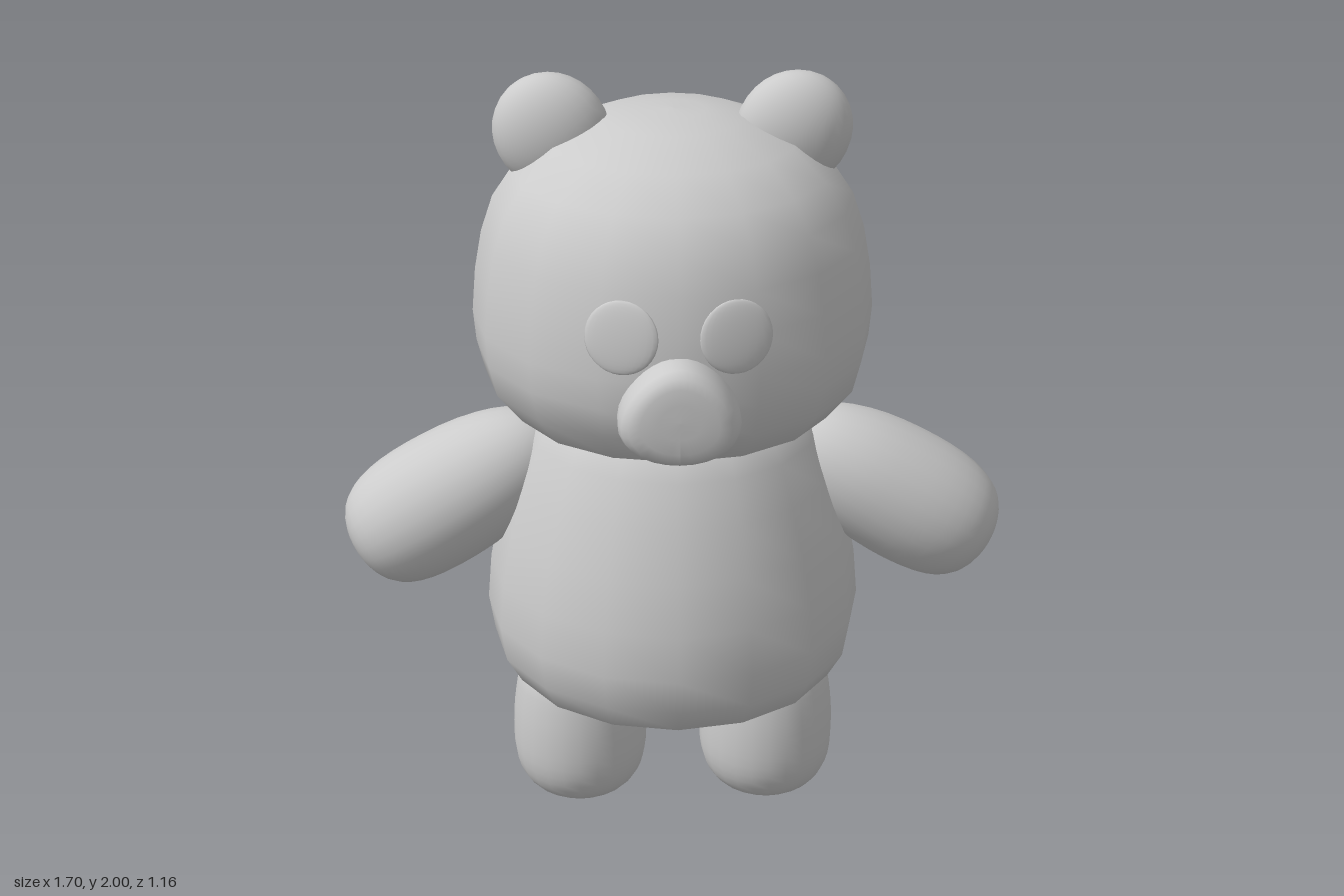
import * as THREE from 'three';

const grey = new THREE.MeshStandardMaterial({ color: 0xcccccc });

// Surface of revolution from [radius, height] pairs, bottom to top; smooth resamples them on a spline.
function lathe(pairs, segments, smooth = 0) {
  let points = pairs.map(([r, y]) => new THREE.Vector2(r, y));
  if (smooth) points = new THREE.SplineCurve(points).getPoints(smooth);
  points.forEach((p) => { p.x = Math.max(p.x, 0); });
  return new THREE.LatheGeometry(points, segments);
}

function ellipsoid(rx, ry, rz) {
  return new THREE.SphereGeometry(1, 24, 16).scale(rx, ry, rz);
}

export function createModel() {
  const bear = new THREE.Group();
  bear.name = 'bear';

  const add = (name, geometry, x = 0, y = 0, z = 0) => {
    const mesh = new THREE.Mesh(geometry, grey);
    mesh.name = name;
    mesh.position.set(x, y, z);
    bear.add(mesh);
    return mesh;
  };

  // Head and body: sixteen-sided, broad at the bottom
  add('head', lathe([
    [0, 1.118], [0.2, 1.118], [0.34, 1.125], [0.41, 1.15], [0.475, 1.23], [0.495, 1.31], [0.502, 1.39],
    [0.493, 1.5], [0.475, 1.6], [0.445, 1.69], [0.395, 1.765], [0.31, 1.84], [0.18, 1.893], [0.08, 1.907], [0, 1.91],
  ], 16));
  add('body', lathe([
    [0, 0.328], [0.2, 0.338], [0.35, 0.37], [0.43, 0.415], [0.47, 0.485], [0.485, 0.58], [0.475, 0.7],
    [0.45, 0.83], [0.41, 0.96], [0.37, 1.07], [0.33, 1.14], [0.24, 1.2], [0, 1.24],
  ], 16));

  // Muzzle: a flat-fronted dome, narrower at the top
  const muzzle = lathe([
    [0, 0.4], [0.9, 0.41], [1, 0.46], [1, 0.52], [0.95, 0.55], [0.84, 0.57], [0.65, 0.578], [0.35, 0.58], [0, 0.581],
  ], 32).rotateX(Math.PI / 2);
  const p = muzzle.attributes.position;
  for (let i = 0; i < p.count; i++) {
    const s = p.getY(i);
    p.setXY(i, 0.142 * p.getX(i) * (1 - 0.25 * s), 1.328 + 0.128 * s);
  }
  muzzle.computeVertexNormals();
  add('muzzle', muzzle);

  // Paired parts
  const legShape = lathe([
    [0, 0], [0.09, 0.008], [0.145, 0.045], [0.173, 0.11], [0.178, 0.2], [0.17, 0.3], [0.15, 0.38], [0.09, 0.44], [0, 0.46],
  ], 24, 24);
  const armShape = lathe([
    [0, -0.32], [0.07, -0.29], [0.125, -0.215], [0.16, -0.1], [0.173, 0.05], [0.165, 0.17], [0.135, 0.25], [0.08, 0.293], [0, 0.308],
  ], 24, 24);
  const earShape = ellipsoid(0.142, 0.15, 0.09);
  const eyeShape = ellipsoid(0.09, 0.09, 0.014);

  for (const [side, label] of [[1, 'left'], [-1, 'right']]) {
    add(`${label}Leg`, legShape, side * 0.25, 0, 0);
    add(`${label}Arm`, armShape, side * 0.557, 0.89, 0).rotation.z = side * -2.13;
    add(`${label}Ear`, earShape, side * 0.296, 1.853, 0).rotation.z = side * -0.6;
    // Eyes lie almost flush on the face
    add(`${label}Eye`, eyeShape, side * 0.135, 1.498, 0.466).rotation.set(-0.12, side * 0.28, 0, 'YXZ');
  }

  // Tail
  add('tail', ellipsoid(0.088, 0.09, 0.083), 0, 0.51, -0.498);

  return bear;
}
